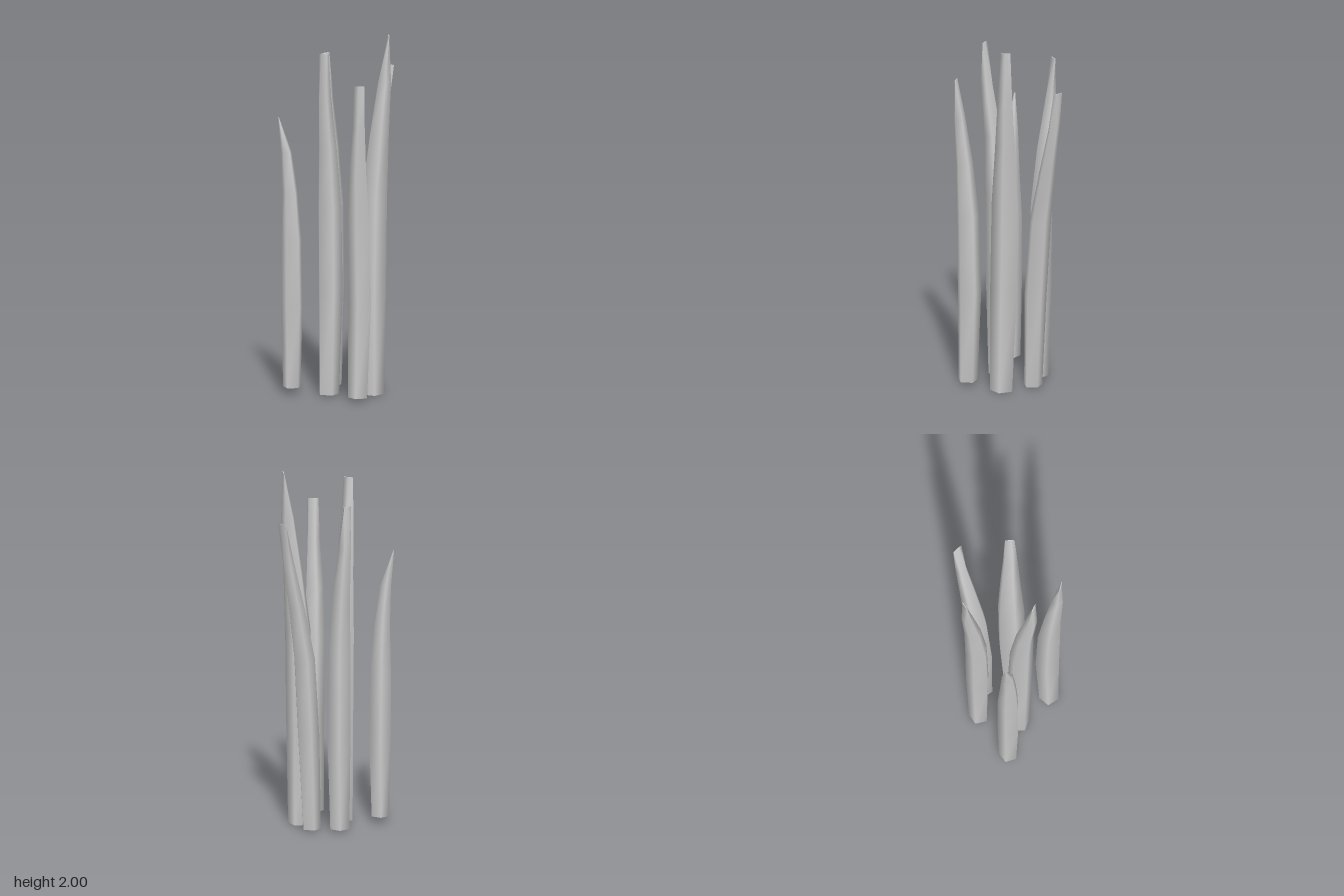
import * as THREE from 'three';

const SIDES = 5;
// shared taper: height fraction, half depth (along the lean), half width (across it)
const PROFILE = [
  [0, 0.06, 0.062], [0.3, 0.074, 0.075], [0.55, 0.07, 0.073],
  [0.72, 0.053, 0.056], [0.87, 0.036, 0.04], [1, 0.003, 0.029],
];

// lean and turn in degrees; x and z give the centre line at each profile height
const STALKS = [
  { name: 'frontLeftStalk', y0: 0, y1: 2, lean: 30, turn: 15, size: 1.06, tip: 1,
    x: [0.068, 0.073, 0.085, 0.11, 0.135, 0.158], z: [0.088, 0.075, 0.075, 0.088, 0.105, 0.116] },
  { name: 'outerLeftStalk', y0: 0.012, y1: 1.78, lean: -12, turn: 12, size: 0.86, tip: 1.15,
    x: [0.115, 0.14, 0.175, 0.235, 0.295, 0.337], z: [-0.08, -0.08, -0.09, -0.1, -0.108, -0.11] },
  { name: 'backRightStalk', y0: 0.04, y1: 1.55, lean: 225, turn: 6, size: 0.84, tip: 0.15,
    x: [-0.288, -0.288, -0.29, -0.297, -0.312, -0.341], z: [-0.175, -0.172, -0.175, -0.18, -0.195, -0.228] },
  { name: 'middleRightStalk', y0: 0.01, y1: 1.93, lean: 146, turn: 34, size: 0.95, tip: 1,
    x: [-0.155, -0.15, -0.16, -0.18, -0.213, -0.224], z: [-0.02, -0.015, -0.01, 0, 0.02, 0.03] },
  { name: 'backStalk', y0: 0.015, y1: 1.86, lean: -90, turn: 180, size: 0.9, tip: 1,
    x: [-0.002, 0.005, 0.008, 0.01, 0.012, 0.015], z: [-0.185, -0.185, -0.192, -0.215, -0.25, -0.268] },
  { name: 'frontRightStalk', y0: 0.02, y1: 1.775, lean: 135, turn: 10, size: 0.92, tip: 1.1,
    x: [-0.115, -0.1, -0.112, -0.128, -0.14, -0.15], z: [0.2, 0.2, 0.203, 0.215, 0.238, 0.254] },
];

// five-sided stem that narrows to a chisel edge
function stalkGeometry(s) {
  const lean = THREE.MathUtils.degToRad(s.lean);
  const turn = THREE.MathUtils.degToRad(s.turn);
  const c = Math.cos(lean), n = Math.sin(lean);
  const pos = [], index = [];
  const last = PROFILE.length - 1;

  const addRing = (i) => {
    const [t, depth, width] = PROFILE[i];
    const start = pos.length / 3;
    for (let k = 0; k < SIDES; k++) {
      const a = turn + (k / SIDES) * Math.PI * 2;
      const u = Math.cos(a) * depth * s.size;
      const v = Math.sin(a) * width * (i === last ? s.tip : s.size);
      pos.push(s.x[i] + u * c - v * n, THREE.MathUtils.lerp(s.y0, s.y1, t), s.z[i] + u * n + v * c);
    }
    return start;
  };

  // sides
  PROFILE.forEach((_, i) => addRing(i));
  for (let i = 0; i < last; i++) {
    for (let k = 0; k < SIDES; k++) {
      const a = i * SIDES + k, b = i * SIDES + (k + 1) % SIDES;
      index.push(a, a + SIDES, b, b, a + SIDES, b + SIDES);
    }
  }
  // flat ends with their own corners, so their rims stay sharp
  const bottom = addRing(0), top = addRing(last);
  for (let k = 1; k < SIDES - 1; k++) {
    index.push(bottom, bottom + k, bottom + k + 1);
    index.push(top, top + k + 1, top + k);
  }

  const geometry = new THREE.BufferGeometry();
  geometry.setAttribute('position', new THREE.Float32BufferAttribute(pos, 3));
  geometry.setIndex(index);
  geometry.computeVertexNormals();
  return geometry;
}

export function createModel() {
  const group = new THREE.Group();
  group.name = 'stalkCluster';
  const material = new THREE.MeshStandardMaterial({ color: 0xcccccc });
  for (const s of STALKS) {
    const mesh = new THREE.Mesh(stalkGeometry(s), material);
    mesh.name = s.name;
    group.add(mesh);
  }
  return group;
}
